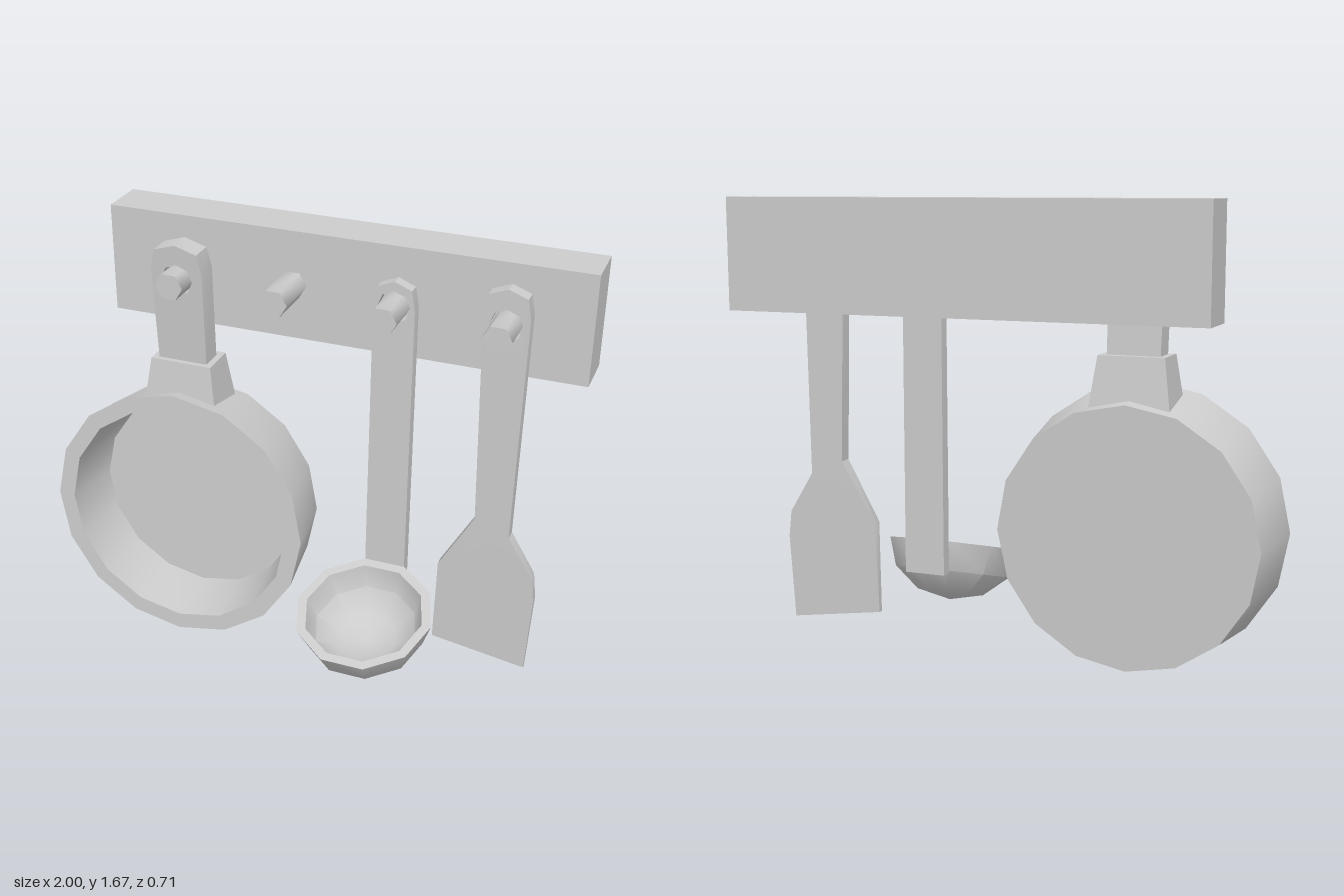
import * as THREE from 'three';
import { toCreasedNormals } from 'three/addons/utils/BufferGeometryUtils.js';

const material = new THREE.MeshStandardMaterial({ color: 0xcccccc });
const PEG_Y = 1.47;
const PEG_X = [-0.485, -0.085, 0.315, 0.715];

function part(name, geometry, crease = 0.7) {
  const mesh = new THREE.Mesh(toCreasedNormals(geometry, crease), material);
  mesh.name = name;
  return mesh;
}

// Apply a rule to every vertex
function bend(geometry, rule) {
  const pos = geometry.attributes.position;
  const v = new THREE.Vector3();
  for (let i = 0; i < pos.count; i++) {
    rule(v.fromBufferAttribute(pos, i));
    pos.setXYZ(i, v.x, v.y, v.z);
  }
  return geometry;
}

const vecs = (list) => list.map(([x, y]) => new THREE.Vector2(x, y));

// Flat bar with an octagonal hanging hole, its thickness centred on z = 0
function hangingBar(outline, depth) {
  const shape = new THREE.Shape(vecs(outline));
  const hole = [];
  for (let i = 0; i < 8; i++) {
    const a = (i * Math.PI) / 4;
    hole.push([0.06 * Math.cos(a), PEG_Y + 0.06 * Math.sin(a)]);
  }
  shape.holes.push(new THREE.Path(vecs(hole)));
  const geo = new THREE.ExtrudeGeometry(shape, { depth, bevelEnabled: false });
  return geo.translate(0, 0, -depth / 2);
}

// Rounded top end, from right to left
const topEnd = (w, y) => [
  [w, y - 0.1], [w * 0.83, y - 0.026], [0, y], [-w * 0.83, y - 0.026], [-w, y - 0.1],
];

function createPan() {
  const pan = new THREE.Group();
  pan.name = 'pan';
  const dish = part('panDish', new THREE.LatheGeometry(vecs([
    [0, -0.275], [0.475, -0.275], [0.515, 0], [0.45, 0], [0.415, -0.23], [0, -0.23],
  ]), 16));
  dish.rotation.x = Math.PI / 2 - 0.04;
  dish.position.set(0, 0.518, 0.03);

  // Tapered socket joining the dish and the handle
  const socket = part('panSocket', bend(new THREE.BoxGeometry(2, 0.18, 2), (v) => {
    const top = v.y > 0;
    v.x *= top ? 0.12 : 0.145;
    v.z = v.z * (top ? 0.07 : 0.093) - 0.13;
    v.y += 1.05;
  }));

  // Handle leans forward towards its top
  const handle = part('panHandle', bend(
    hangingBar([[-0.095, 1.05], [0.095, 1.05], ...topEnd(0.1, 1.605)], 0.09),
    (v) => { v.z += -0.125 + (v.y - 1.14) * 0.065; },
  ));
  pan.add(dish, socket, handle);
  pan.position.x = PEG_X[0];
  return pan;
}

function createLadle() {
  const ladle = new THREE.Group();
  ladle.name = 'ladle';
  // Outer shell from the pole up to the rim, then the inner shell back down
  const profile = [];
  for (let i = 0; i <= 3; i++) {
    const a = (i * Math.PI) / 6;
    profile.push([0.26 * Math.sin(a), -0.214 * Math.cos(a)]);
  }
  for (let i = 3; i >= 0; i--) {
    const a = (i * Math.PI) / 6;
    profile.push([0.225 * Math.sin(a), -0.18 * Math.cos(a)]);
  }
  const bowl = part('ladleBowl', new THREE.LatheGeometry(vecs(profile), 10, Math.PI / 2));
  bowl.rotation.x = 0.297;
  bowl.position.set(0, 0.337, 0.118);

  const handle = part('ladleHandle',
    hangingBar([[-0.078, 0.29], [0.078, 0.29], ...topEnd(0.076, 1.565)], 0.045));
  handle.position.z = -0.1425;
  ladle.add(bowl, handle);
  ladle.position.x = PEG_X[2];
  return ladle;
}

function createSpatula() {
  // Uneven blade that thins towards its lower edge
  const outline = [
    [-0.2, 0.115], [0.165, 0.06], [0.18, 0.38], [0.167, 0.48], [0.07, 0.635],
    ...topEnd(0.082, 1.603), [-0.06, 0.69], [-0.19, 0.46],
  ];
  const spatula = part('spatula', bend(hangingBar(outline, 0.055), (v) => {
    v.z *= THREE.MathUtils.mapLinear(Math.min(v.y, 0.69), 0.06, 0.69, 0.27, 0.95);
  }), 0.5);
  spatula.position.set(PEG_X[3], 0, -0.1375);
  return spatula;
}

export function createModel() {
  const model = new THREE.Group();
  model.name = 'utensilRack';

  const board = part('wallBoard', new THREE.BoxGeometry(1.8, 0.41, 0.18));
  board.position.set(0.1, 1.467, -0.268);
  model.add(board);

  // Six-sided pegs along the board
  for (const x of PEG_X) {
    const peg = part('peg',
      new THREE.CylinderGeometry(0.053, 0.053, 0.21, 6, 1, false, Math.PI / 2), 1.1);
    peg.rotation.x = Math.PI / 2;
    peg.position.set(x, PEG_Y, -0.095);
    model.add(peg);
  }

  model.add(createPan(), createLadle(), createSpatula());
  return model;
}
